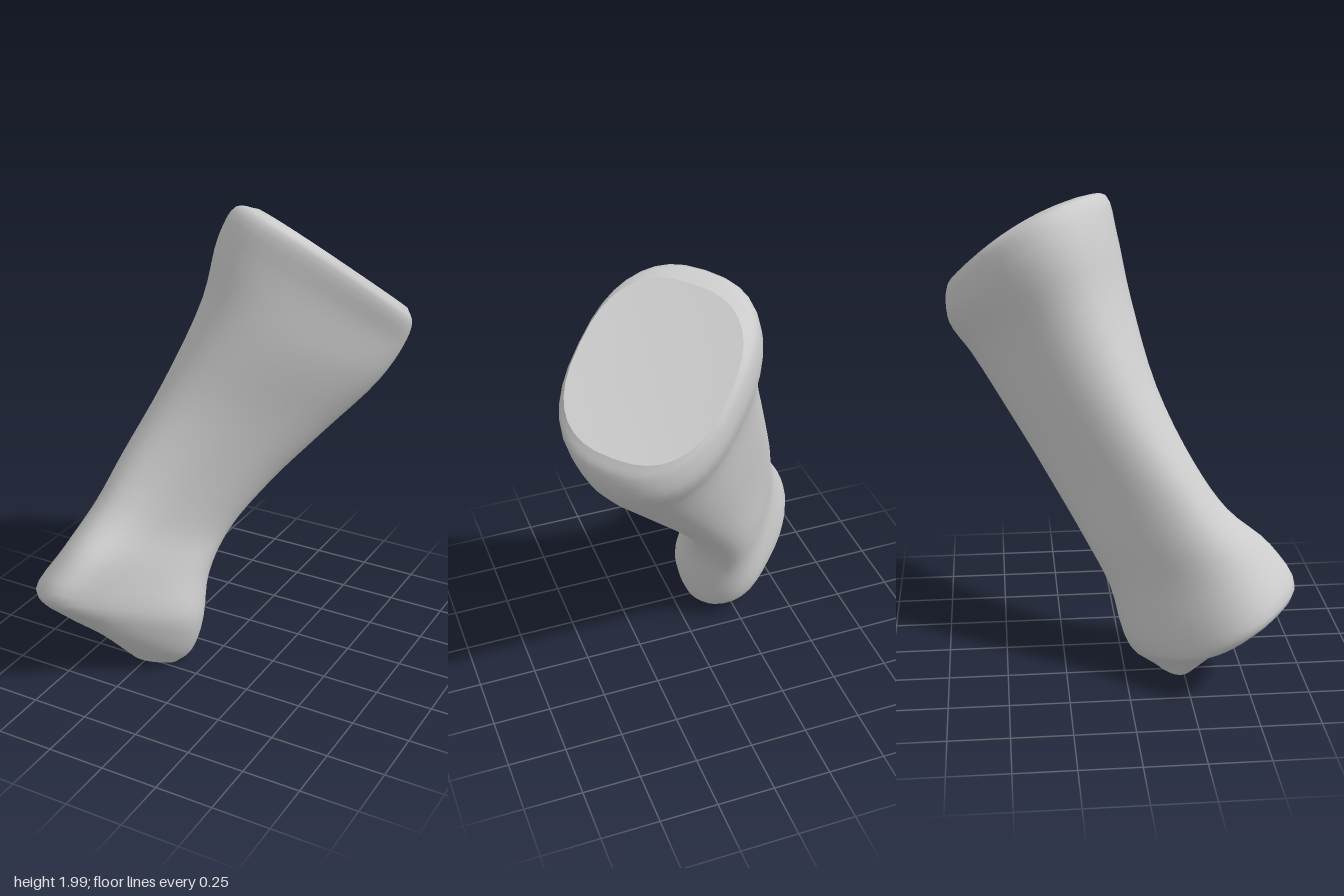
import * as THREE from 'three';

const SEGMENTS = 36, STEPS = 44;
const R = Math.SQRT1_2;
// s runs along the lean of the shaft, t across it
const place = (s, y, t) => new THREE.Vector3((s + t) * R, y, (t - s) * R);

// Cross-sections from the upper joint to the lower one:
// ridge s, y, t, underside s, y, t, half width, flank groove, sideways roll
const SECTIONS = [
  [0.20, 1.97, -0.10, 0.785, 1.54, -0.05, 0.305, 0, 0.1],
  [0.11, 1.985, -0.11, 0.805, 1.48, -0.04, 0.325, 0, 0.1],
  [0.035, 1.86, -0.12, 0.785, 1.38, -0.06, 0.315, 0, 0.05],
  [-0.045, 1.60, -0.10, 0.69, 1.25, -0.05, 0.275, 0, 0],
  [-0.22, 1.25, -0.11, 0.46, 1.01, -0.08, 0.215, 0, 0],
  [-0.42, 0.95, -0.08, 0.245, 0.79, -0.11, 0.18, 0, 0],
  [-0.55, 0.77, -0.03, 0.05, 0.57, -0.11, 0.18, 0.08, 0.05],
  [-0.71, 0.61, 0.04, -0.06, 0.39, -0.06, 0.215, 0.25, 0.2],
  [-0.83, 0.44, 0.035, -0.10, 0.21, -0.01, 0.25, 0.32, 0.28],
  [-0.75, 0.32, -0.02, -0.13, 0.11, 0.01, 0.21, 0.2, 0.25],
  [-0.58, 0.18, -0.05, -0.17, 0.04, 0.02, 0.14, 0, 0.1],
  [-0.42, 0.02, -0.04, -0.22, 0.00, 0.02, 0.07, 0, 0],
];

function sectionPoint([us, uy, ut, ls, ly, lt, width, groove, roll], angle) {
  const soft = v => Math.sign(v) * Math.abs(v) ** 0.8;
  const c = soft(Math.cos(angle)), k = Math.sin(angle);
  // the groove is deeper on the front flank
  const pinch = 1 - groove * (k > 0 ? 1 : 0.3) * k ** 4;
  const side = soft(k) * width * pinch;
  const along = (u, l) => (u + l) / 2 + c * (u - l) / 2;
  return place(along(us, ls), along(uy, ly) + roll * side, along(ut, lt) + side);
}

function boneGeometry() {
  const points = [], index = [], columns = [];
  for (let i = 0; i < SEGMENTS; i++) {
    const angle = i / SEGMENTS * Math.PI * 2;
    columns.push(new THREE.CatmullRomCurve3(SECTIONS.map(row => sectionPoint(row, angle))));
  }
  // wall
  for (let r = 0; r <= STEPS; r++) {
    for (const column of columns) points.push(column.getPoint(r / STEPS));
  }
  for (let r = 0; r < STEPS; r++) {
    for (let i = 0; i < SEGMENTS; i++) {
      const a = r * SEGMENTS + i, b = r * SEGMENTS + (i + 1) % SEGMENTS;
      index.push(a, a + SEGMENTS, b, b, a + SEGMENTS, b + SEGMENTS);
    }
  }
  // joint faces with their own vertices, so their rims stay crisp; the upper one is dished
  for (const top of [true, false]) {
    const first = top ? 0 : STEPS * SEGMENTS;
    const ring = points.slice(first, first + SEGMENTS);
    const start = points.length;
    const centre = ring.reduce((sum, p) => sum.add(p), new THREE.Vector3()).divideScalar(SEGMENTS);
    if (top) centre.y -= 0.03;
    points.push(...ring.map(p => p.clone()), centre);
    for (let i = 0; i < SEGMENTS; i++) {
      const a = start + i, b = start + (i + 1) % SEGMENTS;
      index.push(start + SEGMENTS, top ? a : b, top ? b : a);
    }
  }
  const geometry = new THREE.BufferGeometry().setFromPoints(points);
  geometry.setIndex(index);
  geometry.computeVertexNormals();
  return geometry;
}

export function createModel() {
  const model = new THREE.Group();
  model.name = 'bone';
  const bone = new THREE.Mesh(boneGeometry(), new THREE.MeshStandardMaterial({ color: 0xcccccc }));
  bone.name = 'boneShaftAndJoints';
  model.add(bone);
  return model;
}
